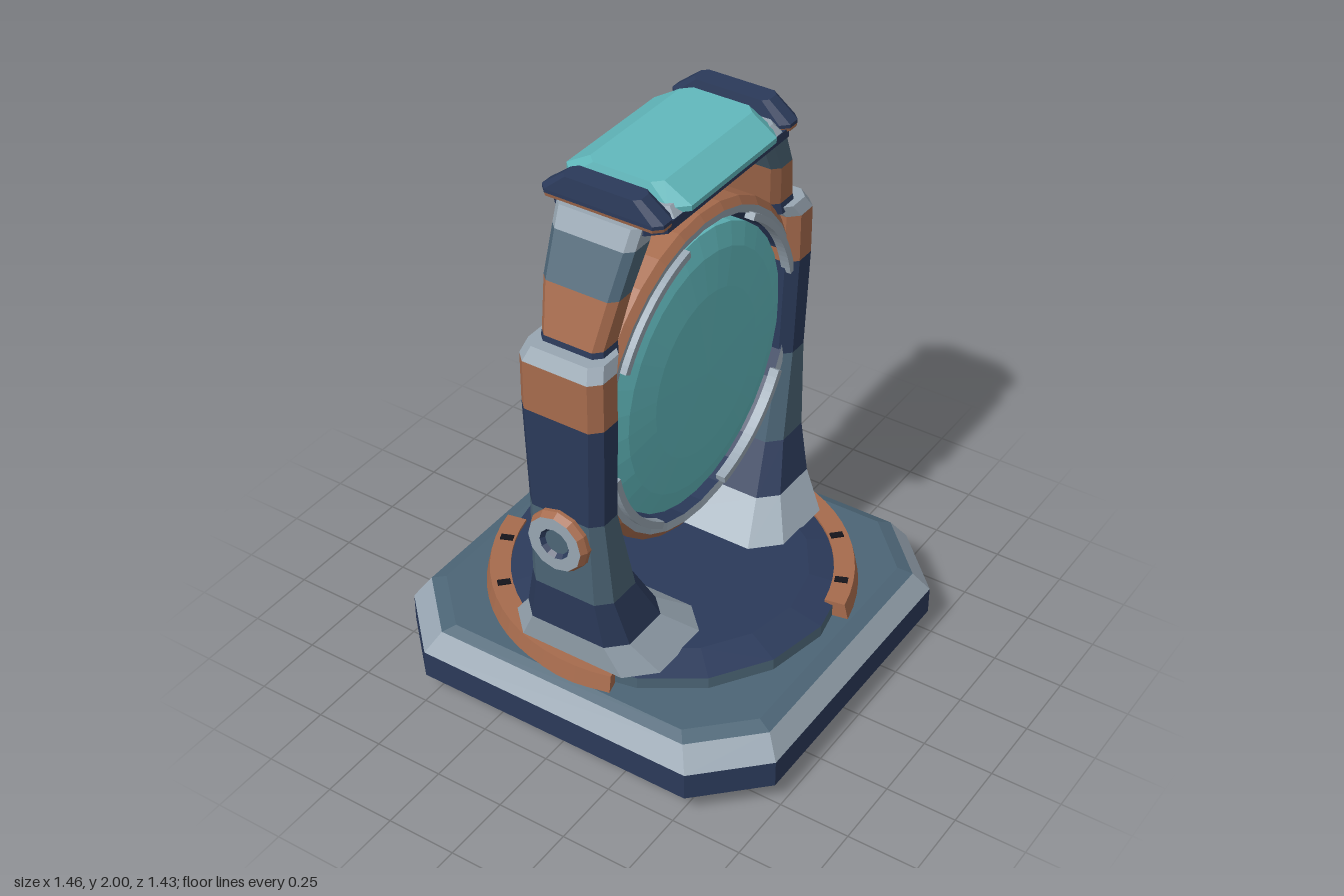
import * as THREE from 'three';

const mat = (name, color) => Object.assign(new THREE.MeshStandardMaterial({ color }), { name });
const navy = mat('navy', 0x2b3a5a), slate = mat('slate', 0x4c6576), light = mat('light grey', 0x98a6b2);
const copper = mat('copper', 0xa66b4d), teal = mat('teal', 0x61b8bc), black = mat('near black', 0x15141a);
const rad = THREE.MathUtils.degToRad;

function mesh(name, geo, material) {
  const g = geo.index ? geo.toNonIndexed() : geo;
  g.computeVertexNormals(); // faceted look
  const m = new THREE.Mesh(g, material);
  m.name = name;
  return m;
}

// Horizontal rectangle with cut corners, counter-clockwise from above
function oct(y, hw, z0, z1, c) {
  const x = hw - c, a = z0 + c, b = z1 - c;
  return [[hw, b], [hw, a], [x, z0], [-x, z0], [-hw, a], [-hw, b], [-x, z1], [x, z1]]
    .map(([px, pz]) => [px, y, pz]);
}

// Skin a stack of rings; one material per band, then bottom cap and top cap
function loft(name, rings, bands, bottom = bands[0], top = bands[bands.length - 1]) {
  const pos = [], geo = new THREE.BufferGeometry(), n = rings[0].length;
  const group = (start, i) => geo.addGroup(start, pos.length / 3 - start, i);
  for (let k = 0; k < rings.length - 1; k++) {
    const start = pos.length / 3, p = rings[k], q = rings[k + 1];
    for (let i = 0; i < n; i++) {
      const j = (i + 1) % n;
      pos.push(...p[i], ...p[j], ...q[j], ...p[i], ...q[j], ...q[i]);
    }
    group(start, k);
  }
  [[rings[0], true], [rings[rings.length - 1], false]].forEach(([r, flip], k) => {
    const start = pos.length / 3;
    for (let i = 1; i < n - 1; i++) {
      pos.push(...r[0], ...(flip ? r[i + 1] : r[i]), ...(flip ? r[i] : r[i + 1]));
    }
    group(start, bands.length + k);
  });
  geo.setAttribute('position', new THREE.Float32BufferAttribute(pos, 3));
  return mesh(name, geo, [...bands, bottom, top]);
}

function lathe(name, pts, sides, material) {
  return mesh(name, new THREE.LatheGeometry(pts.map(p => new THREE.Vector2(...p)), sides), material);
}

// Curved bar in the xy plane, centred in depth; the outer front edge leans in by taper
function arcBar(name, r0, r1, from, to, depth, material, taper = 0) {
  const s = new THREE.Shape();
  s.absarc(0, 0, r1, rad(from), rad(to), false);
  s.absarc(0, 0, r0, rad(to), rad(from), true);
  const g = new THREE.ExtrudeGeometry(s, { depth, bevelEnabled: false, curveSegments: 8 });
  g.translate(0, 0, -depth / 2);
  const p = g.attributes.position;
  for (let i = 0; i < p.count; i++) {
    const x = p.getX(i), y = p.getY(i), r = Math.hypot(x, y);
    const k = p.getZ(i) > 0 && r > (r0 + r1) / 2 ? 1 - taper / r : 1;
    p.setXY(i, x * k, y * k);
  }
  return mesh(name, g, material);
}

function buildBase() {
  const base = new THREE.Group();
  base.name = 'base';
  const ring = (y, x, z, c) => oct(y, x, -z, z, c);
  base.add(loft('plinth', [
    ring(0, 0.61, 0.6, 0.18), ring(0.08, 0.73, 0.715, 0.21), ring(0.18, 0.73, 0.715, 0.21),
    ring(0.255, 0.68, 0.665, 0.2), ring(0.272, 0.63, 0.625, 0.18),
  ], [black, navy, light, slate]));
  base.add(lathe('turntableSide', [[0.59, 0.26], [0.59, 0.315]], 16, slate));
  base.add(lathe('turntableTop', [[0.59, 0.315], [0.47, 0.34], [0, 0.34]], 16, navy));

  // Two copper guard rails with dark notches
  for (const turn of [0, 180]) {
    const rail = new THREE.Group();
    rail.name = 'guardRail';
    const bar = arcBar('rail', 0.55, 0.636, 11, 105, 0.065, copper, 0.015);
    bar.rotation.x = -Math.PI / 2;
    bar.position.y = 0.298;
    rail.add(bar);
    for (const a of [22.5, 46, 69.5]) {
      const notch = mesh('notch', new THREE.BoxGeometry(0.045, 0.006, 0.026), black);
      notch.position.set(0.58 * Math.cos(rad(a)), 0.332, -0.58 * Math.sin(rad(a)));
      notch.rotation.y = rad(a);
      rail.add(notch);
    }
    rail.rotation.y = rad(turn);
    base.add(rail);
  }
  return base;
}

function buildArm(name) {
  const arm = new THREE.Group();
  arm.name = name;
  arm.add(loft('lowerArm', [
    oct(0.335, 0.285, 0.17, 0.59, 0.09), oct(0.45, 0.2, 0.31, 0.607, 0.06),
    oct(0.62, 0.158, 0.405, 0.615, 0.045), oct(0.94, 0.142, 0.485, 0.625, 0.035),
    oct(1.31, 0.153, 0.49, 0.632, 0.035), oct(1.485, 0.153, 0.49, 0.632, 0.035),
    oct(1.53, 0.138, 0.46, 0.605, 0.035),
  ], [light, navy, slate, navy, copper, light]));
  arm.add(loft('upperArm', [
    oct(1.51, 0.118, 0.44, 0.565, 0.025), oct(1.55, 0.112, 0.435, 0.56, 0.025),
    oct(1.71, 0.136, 0.395, 0.51, 0.025), oct(1.85, 0.148, 0.315, 0.442, 0.025),
    oct(1.915, 0.153, 0.3, 0.41, 0.025),
  ], [navy, copper, slate, light]));

  // Pivot knob on the outer face
  const knob = new THREE.Group();
  knob.name = 'pivotKnob';
  knob.add(
    lathe('knobRim', [[0.1, -0.04], [0.112, -0.025], [0.112, 0.012], [0.1, 0.035]], 12, copper),
    lathe('knobFace', [[0.1, 0.035], [0.056, 0.035]], 12, light),
    lathe('knobWell', [[0.056, 0.035], [0.045, 0.02]], 12, navy),
    lathe('knobCentre', [[0.045, 0.02], [0, 0.02]], 12, slate),
  );
  knob.rotation.x = Math.PI / 2;
  knob.position.set(0, 0.852, 0.627);
  arm.add(knob);
  return arm;
}

function buildLens() {
  const lens = new THREE.Group();
  lens.name = 'lensAssembly';
  const spin = new THREE.Group();
  spin.name = 'ringAndGlass';
  spin.add(
    lathe('ringOuter', [[0.555, -0.12], [0.58, -0.1], [0.58, 0.1], [0.555, 0.12]], 32, copper),
    lathe('ringFrontFace', [[0.555, 0.12], [0.527, 0.115]], 32, light),
    lathe('ringBore', [[0.527, 0.115], [0.527, -0.115]], 32, navy),
    lathe('ringBackFace', [[0.527, -0.115], [0.555, -0.12]], 32, light),
    lathe('glass', [[0, -0.138], [0.29, -0.132], [0.42, -0.118], [0.495, -0.095],
      [0.495, 0.095], [0.42, 0.118], [0.29, 0.132], [0, 0.138]], 32, teal),
  );
  spin.rotation.z = Math.PI / 2;
  lens.add(spin);
  // Four clamps on each face, between ring and glass
  for (const side of [-1, 1]) {
    for (let k = 0; k < 4; k++) {
      const clamp = arcBar('clamp', 0.505, 0.53, 30 + 90 * k, 78 + 90 * k, 0.035, light);
      clamp.rotation.y = -Math.PI / 2;
      clamp.position.x = side * 0.121;
      lens.add(clamp);
    }
  }
  lens.position.y = 1.165;
  return lens;
}

function buildBeam() {
  const beam = new THREE.Group();
  beam.name = 'topBeam';
  const ring = (y, x, z, c) => oct(y, x, -z, z, c);
  beam.add(loft('beamBody', [
    ring(1.855, 0.16, 0.33, 0.03), ring(1.89, 0.208, 0.385, 0.05), ring(1.922, 0.208, 0.385, 0.05),
  ], [navy, navy], black));
  beam.add(loft('panelSeat', [ring(1.92, 0.208, 0.33, 0.03), ring(1.95, 0.18, 0.315, 0.03)], [light]));
  beam.add(loft('panel', [
    ring(1.922, 0.225, 0.285, 0.05), ring(1.94, 0.225, 0.285, 0.05), ring(1.997, 0.132, 0.27, 0.03),
  ], [teal, teal]));
  // End caps on a thin copper trim
  for (const turn of [0, Math.PI]) {
    const cap = loft('endCap', [
      oct(1.914, 0.215, 0.305, 0.392, 0.025), oct(1.926, 0.217, 0.302, 0.395, 0.025),
      oct(1.938, 0.217, 0.302, 0.395, 0.025), oct(2, 0.138, 0.312, 0.388, 0.018),
    ], [copper, navy, navy]);
    cap.rotation.y = turn;
    beam.add(cap);
  }
  return beam;
}

export function createModel() {
  const model = new THREE.Group();
  model.name = 'lensGate';
  const back = buildArm('backArm');
  back.rotation.y = Math.PI;
  model.add(buildBase(), buildArm('frontArm'), back, buildLens(), buildBeam());
  return model;
}
